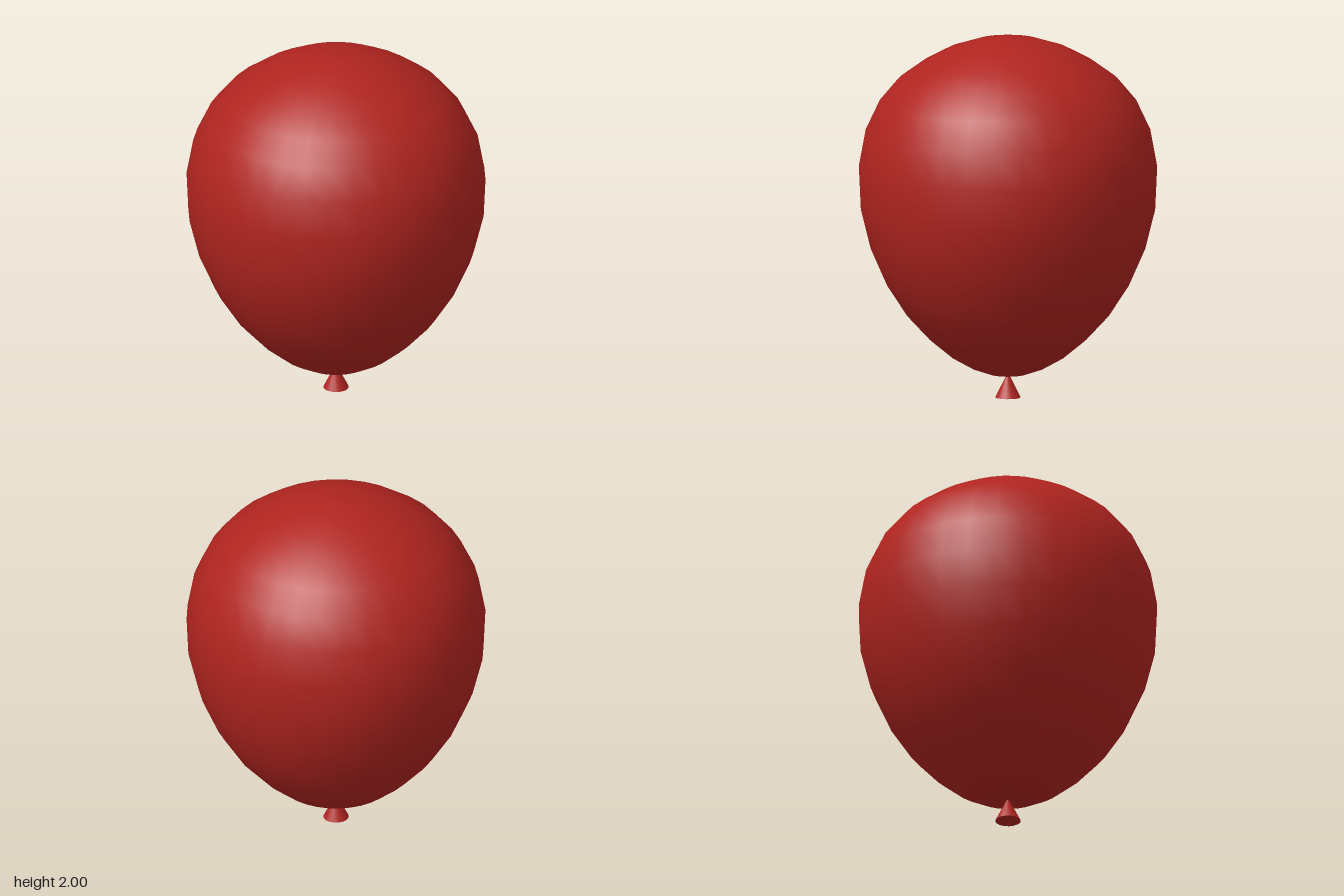
import * as THREE from 'three';

export function createModel() {
  const model = new THREE.Group();
  model.name = 'balloon';
  const rubber = new THREE.MeshStandardMaterial({ color: 0xb0241f, side: THREE.DoubleSide });

  // Inflated body: egg-shaped profile from the neck up to the crown
  const profile = [
    [0, 0.12], [0.1, 0.13], [0.2, 0.165], [0.315, 0.23], [0.43, 0.325], [0.555, 0.46],
    [0.665, 0.63], [0.755, 0.835], [0.81, 1.055], [0.82, 1.275], [0.783, 1.475],
    [0.705, 1.64], [0.6, 1.765], [0.468, 1.86], [0.325, 1.935], [0.165, 1.985], [0, 2],
  ].map(([r, y]) => new THREE.Vector2(r, y));
  const body = new THREE.Mesh(new THREE.LatheGeometry(profile, 32), rubber);
  body.name = 'body';
  model.add(body);

  // Tied knot: small cone whose tip meets the underside of the body
  const knotHeight = 0.14;
  const knot = new THREE.Mesh(new THREE.ConeGeometry(0.07, knotHeight, 16), rubber);
  knot.name = 'knot';
  knot.position.y = knotHeight / 2;
  model.add(knot);

  return model;
}
